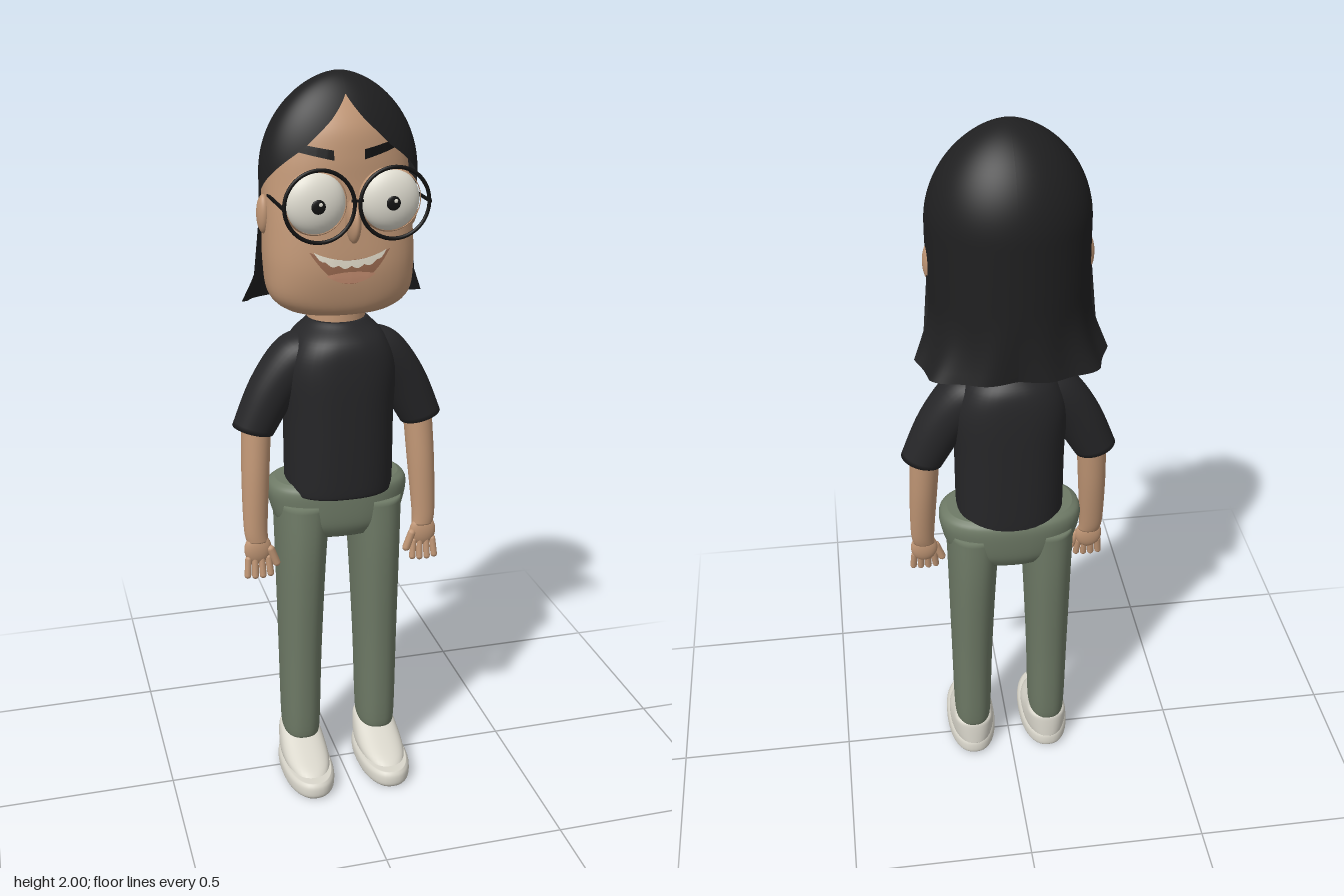
import * as THREE from 'three';

const mat = (name, color, double) => {
  const m = new THREE.MeshStandardMaterial({ color });
  m.name = name;
  if (double) m.side = THREE.DoubleSide;
  return m;
};

// Smoothly stacked rings, bottom to top: [x, y, z, rx, rz, squareness, tilt]
function loft(sections, steps = 6, seg = 40) {
  const at = (i) => sections[Math.min(Math.max(i, 0), sections.length - 1)];
  const rings = [];
  for (let i = 0; i < sections.length - 1; i++) {
    for (let k = 0; k < steps + (i === sections.length - 2 ? 1 : 0); k++) {
      const t = k / steps, [a, b, c, d] = [at(i - 1), at(i), at(i + 1), at(i + 2)];
      rings.push(b.map((p, q) => 0.5 * (2 * p + (c[q] - a[q]) * t
        + (2 * a[q] - 5 * p + 4 * c[q] - d[q]) * t * t
        + (3 * p - a[q] - 3 * c[q] + d[q]) * t * t * t)));
    }
  }
  const pos = [], idx = [];
  const pw = (v, n) => Math.sign(v) * Math.abs(v) ** (2 / n);
  for (const [x, y, z, rx, rz, n = 2, tilt = 0] of rings) {
    for (let j = 0; j < seg; j++) {
      const a = (j / seg) * Math.PI * 2, u = rx * pw(Math.cos(a), n);
      pos.push(x + u * Math.cos(tilt), y + u * Math.sin(tilt), z + rz * pw(Math.sin(a), n));
    }
  }
  for (let i = 0; i < rings.length - 1; i++) {
    for (let j = 0; j < seg; j++) {
      const a = i * seg + j, b = i * seg + (j + 1) % seg;
      idx.push(a, a + seg, b, b, a + seg, b + seg);
    }
  }
  // End caps
  const last = (rings.length - 1) * seg, c = rings.length * seg;
  pos.push(...rings[0].slice(0, 3), ...rings[rings.length - 1].slice(0, 3));
  for (let j = 0; j < seg; j++) {
    const k = (j + 1) % seg;
    idx.push(c, j, k, c + 1, last + k, last + j);
  }
  const g = new THREE.BufferGeometry();
  g.setAttribute('position', new THREE.Float32BufferAttribute(pos, 3));
  g.setIndex(idx);
  g.computeVertexNormals();
  return g;
}

// Linear lookup in [key, value] pairs
function lookup(table, x) {
  for (let i = 1; i < table.length; i++) {
    const [x0, y0] = table[i - 1], [x1, y1] = table[i];
    if (x <= x1) return y0 + (y1 - y0) * (x - x0) / (x1 - x0);
  }
  return table[table.length - 1][1];
}

// Hair shell: long at the back and sides, parted fringe at the front
function hairGeometry() {
  const hem = [[0, 1.95], [15, 1.89], [35, 1.825], [60, 1.77], [88, 1.71], [97, 1.67], [101, 1.41], [125, 1.39], [180, 1.4]];
  const g = new THREE.PlaneGeometry(1, 1, 144, 40), p = g.attributes.position;
  for (let i = 0; i < p.count; i++) {
    const t = p.getX(i) * Math.PI * 2, v = 0.5 - p.getY(i);
    const low = lookup(hem, Math.abs(t) * 180 / Math.PI);
    const y = 2 - (2 - low) * v ** 1.6;
    const k = y > 1.75 ? Math.max(0, 1 - ((y - 1.75) / 0.25) ** 2) ** 0.58 : 1;
    const f = Math.max(0, (1.56 - y) / 0.17);
    const wave = 1 + 0.025 * f * Math.cos(11 * t);
    const x = Math.sin(t) * k * (0.205 + 0.055 * f * f) * wave;
    const c = Math.cos(t), drop = Math.max(0, 1.75 - y);
    p.setXYZ(i, x, y, c * k * (c > 0 ? 0.112 : 0.187 + 0.03 * drop) * wave - 0.03 * f * f * Math.abs(Math.sin(t)));
  }
  g.computeVertexNormals();
  return g;
}

export function createModel() {
  const root = new THREE.Group();
  root.name = 'standingFigure';
  const skin = mat('skin', 0xc09675, true), hair = mat('hair', 0x1f1f20, true);
  const shirt = mat('shirtCloth', 0x262628), pants = mat('trouserCloth', 0x6e7a66);
  const shoe = mat('shoeWhite', 0xd9d6cb), eye = mat('eyeWhite', 0xe0ddd1);
  const black = mat('black', 0x121212), mouthIn = mat('mouthInside', 0x99694f);
  const tooth = mat('tooth', 0xe4ddcb), lip = mat('lip', 0xc78f72);

  const add = (name, geo, m, x = 0, y = 0, z = 0) => {
    const o = new THREE.Mesh(geo, m);
    o.name = name;
    o.position.set(x, y, z);
    root.add(o);
    return o;
  };
  const ball = (name, m, x, y, z, rx, ry, rz) => {
    const o = add(name, new THREE.SphereGeometry(1, 32, 20), m, x, y, z);
    o.scale.set(rx, ry, rz);
    return o;
  };

  // Head and neck
  const head = add('head', loft([
    [0, 1.39, 0, 0.07, 0.05, 2], [0, 1.4, 0, 0.135, 0.085, 2.3], [0, 1.44, -0.005, 0.184, 0.11, 2.6],
    [0, 1.52, -0.01, 0.196, 0.128, 2.6], [0, 1.62, -0.02, 0.195, 0.132, 2.5], [0, 1.72, -0.03, 0.192, 0.132, 2.2],
    [0, 1.8, -0.035, 0.182, 0.133, 2], [0, 1.87, -0.035, 0.148, 0.118, 2], [0, 1.93, -0.03, 0.09, 0.07, 2],
    [0, 1.95, -0.03, 0.03, 0.03, 2]]), skin);
  add('neck', new THREE.CylinderGeometry(0.074, 0.08, 0.16, 32), skin, 0, 1.39, -0.035);
  ball('nose', skin, 0, 1.652, 0.14, 0.017, 0.055, 0.045);
  add('hair', hairGeometry(), hair);

  // Thin patches laid over the face
  const ray = new THREE.Raycaster();
  const patch = (name, m, x0, hw, top, bottom, lift) => {
    const g = new THREE.PlaneGeometry(2, 1, 28, 6), p = g.attributes.position;
    for (let i = 0; i < p.count; i++) {
      const u = p.getX(i), v = p.getY(i) + 0.5, x = x0 + hw * u;
      const y = bottom(u) + (top(u) - bottom(u)) * v;
      ray.set(new THREE.Vector3(x, y, 1), new THREE.Vector3(0, 0, -1));
      const hit = ray.intersectObject(head)[0];
      p.setXYZ(i, x, y, (hit ? hit.point.z : 0.1) + lift);
    }
    g.computeVertexNormals();
    add(name, g, m);
  };
  const smile = (u) => 1.55 + 0.022 * u * u;
  patch('mouth', mouthIn, 0, 0.105, smile, (u) => 1.487 + 0.085 * u * u, 0.003);
  patch('teeth', tooth, 0, 0.095, smile,
    (u) => smile(u) - (0.014 + 0.008 * Math.abs(Math.sin(u * 9))) * (1 - u ** 6), 0.006);
  patch('lowerLip', lip, 0, 0.066, (u) => 1.52 - 0.008 * u * u, (u) => 1.489 + 0.024 * u * u, 0.006);

  for (const s of [1, -1]) {
    const side = s > 0 ? 'left' : 'right';
    const part = (n) => side + n;

    // Brow, ear and eye
    patch(part('Brow'), black, s * 0.085, 0.046, (u) => 1.828 + 0.008 * s * u, (u) => 1.806 + 0.01 * s * u, 0.009);
    ball(part('Ear'), skin, s * 0.195, 1.65, -0.012, 0.018, 0.05, 0.025);
    ball(part('Eye'), eye, s * 0.095, 1.7, 0.13, 0.077, 0.077, 0.038);
    const lid = new THREE.SphereGeometry(1, 40, 8, 0, Math.PI * 2, 1.22, 0.42).rotateX(Math.PI / 2);
    add(part('Eyelid'), lid, skin, s * 0.095, 1.7, 0.13).scale.set(0.081, 0.081, 0.041);
    ball(part('Pupil'), black, s * 0.095, 1.697, 0.167, 0.018, 0.018, 0.004);
    ball(part('EyeGlint'), eye, s * 0.095 + 0.005, 1.703, 0.171, 0.005, 0.005, 0.002);

    // Glasses
    add(part('GlassesRim'), new THREE.TorusGeometry(0.088, 0.005, 8, 48), black, s * 0.095, 1.7, 0.178);
    add(part('GlassesArm'), new THREE.BoxGeometry(0.006, 0.007, 0.22), black, s * 0.186, 1.7, 0.07);

    // Sleeve and arm
    add(part('Sleeve'), loft([
      [s * 0.235, 1.068, -0.015, 0.057, 0.054, 2, s * 0.27], [s * 0.178, 1.18, -0.015, 0.066, 0.064, 2, s * 0.45],
      [s * 0.11, 1.265, -0.015, 0.07, 0.075, 2, s * 0.75], [s * 0.05, 1.3, -0.015, 0.05, 0.07, 2, s * 0.9]]), shirt);
    add(part('Arm'), loft([
      [s * 0.237, 0.755, 0.022, 0.03, 0.022, 2], [s * 0.24, 0.8, 0.016, 0.033, 0.028, 2],
      [s * 0.234, 0.95, 0, 0.038, 0.04, 2], [s * 0.225, 1.1, -0.015, 0.04, 0.042, 2]]), skin);

    // Hand with four fingers and a thumb
    ball(part('Palm'), skin, s * 0.237, 0.733, 0.026, 0.038, 0.045, 0.018);
    for (let i = 0; i < 4; i++) {
      const f = add(part('Finger' + (i + 1)), new THREE.CapsuleGeometry(0.0095, 0.055 - 0.006 * Math.abs(i - 1.5), 4, 10),
        skin, s * (0.207 + 0.02 * i), 0.683, 0.034);
      f.rotation.set(-0.15, 0, s * (i - 1.5) * 0.06);
    }
    const thumb = add(part('Thumb'), new THREE.CapsuleGeometry(0.011, 0.045, 4, 10), skin, s * 0.195, 0.71, 0.034);
    thumb.rotation.z = -s * 0.35;

    // Trouser leg
    add(part('TrouserLeg'), loft([
      [s * 0.113, 0.125, -0.02, 0.044, 0.068, 2.4], [s * 0.113, 0.145, -0.02, 0.053, 0.079, 2.4],
      [s * 0.111, 0.4, -0.022, 0.059, 0.092, 2.3], [s * 0.106, 0.7, -0.025, 0.068, 0.113, 2.3],
      [s * 0.1, 0.86, -0.028, 0.078, 0.113, 2.3]]), pants);

    // Shoe
    add(part('ShoeSole'), loft([
      [s * 0.113, 0.003, 0.048, 0.063, 0.142, 2.3], [s * 0.113, 0.015, 0.048, 0.072, 0.152, 2.3],
      [s * 0.113, 0.04, 0.048, 0.072, 0.151, 2.3], [s * 0.113, 0.053, 0.046, 0.064, 0.144, 2.3]], 4), shoe);
    add(part('ShoeUpper'), loft([
      [s * 0.113, 0.045, 0.035, 0.063, 0.136, 2.3], [s * 0.113, 0.065, 0.022, 0.066, 0.122, 2.3],
      [s * 0.113, 0.095, -0.015, 0.062, 0.083, 2.3], [s * 0.113, 0.118, -0.04, 0.056, 0.055, 2.3],
      [s * 0.113, 0.127, -0.043, 0.047, 0.045, 2.3]], 4), shoe);
  }
  add('glassesBridge', new THREE.BoxGeometry(0.03, 0.006, 0.006), black, 0, 1.71, 0.178);

  // Shirt body and trouser seat
  add('shirtBody', loft([
    [0, 0.89, -0.015, 0.143, 0.128, 2.5], [0, 0.92, -0.015, 0.146, 0.132, 2.5], [0, 1.1, -0.015, 0.147, 0.135, 2.5],
    [0, 1.24, -0.015, 0.152, 0.134, 2.5], [0, 1.315, -0.016, 0.126, 0.122, 2.4], [0, 1.355, -0.022, 0.092, 0.088, 2],
    [0, 1.366, -0.025, 0.08, 0.078, 2]]), shirt);
  add('trouserSeat', loft([
    [0, 0.762, -0.028, 0.135, 0.095, 2.3], [0, 0.8, -0.028, 0.174, 0.112, 2.4], [0, 0.865, -0.03, 0.194, 0.118, 2.4],
    [0, 0.9, -0.03, 0.192, 0.115, 2.4], [0, 0.916, -0.03, 0.172, 0.1, 2.4]]), pants);
  return root;
}
